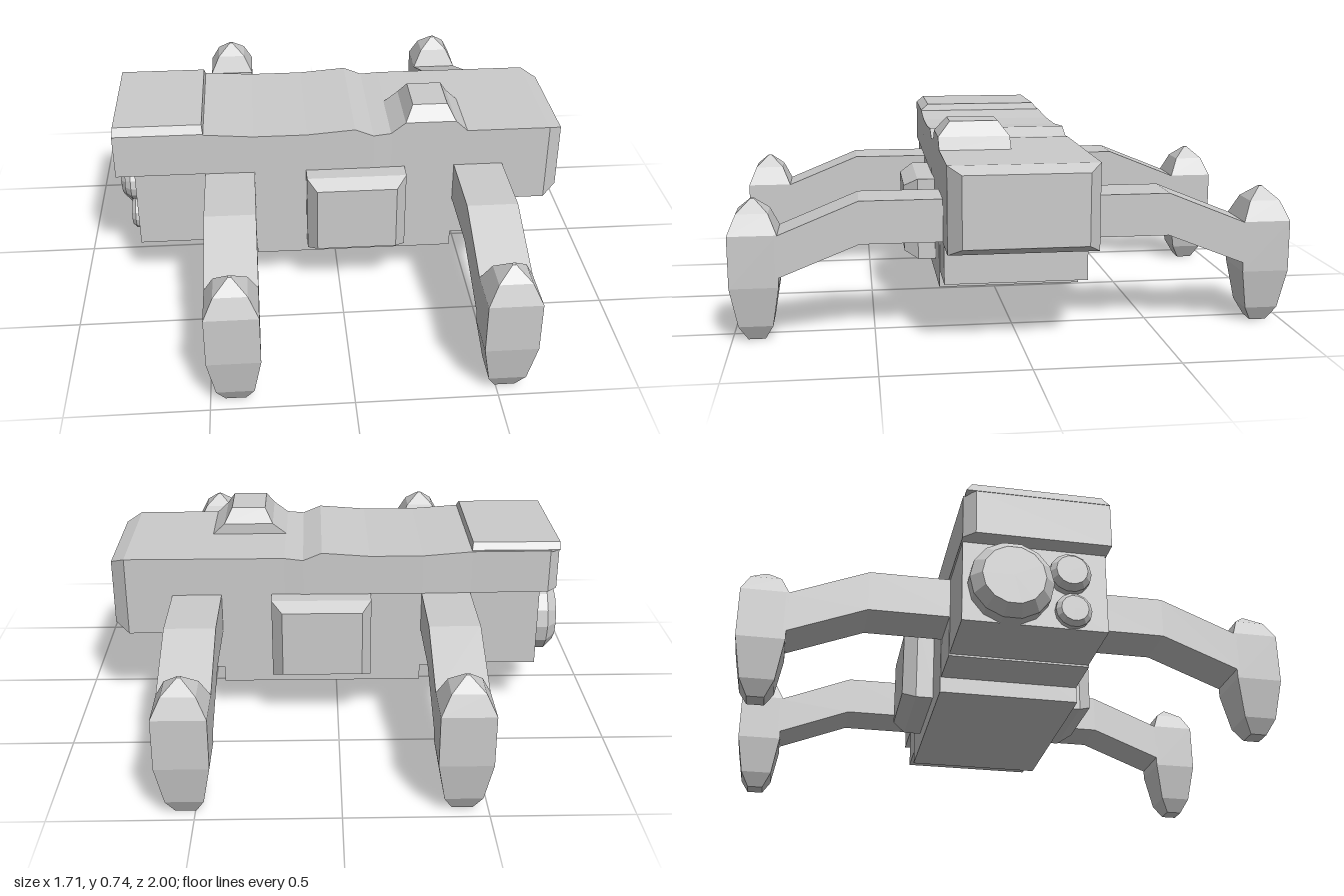
import * as THREE from 'three';

const material = new THREE.MeshStandardMaterial({ color: 0xcccccc, flatShading: true });

// Each axis maps (t, a, b) to x, y, z in a right-handed order.
const AXES = {
  x: (t, a, b) => [t, a, b],
  y: (t, a, b) => [b, t, a],
  z: (t, a, b) => [a, b, t],
};

// Lofts rectangular sections [t, a0, a1, b0, b1], listed in rising t, along an axis.
function loft(axis, sections) {
  const rings = sections.map(([t, a0, a1, b0, b1]) =>
    [[a0, b0], [a1, b0], [a1, b1], [a0, b1]].map(([a, b]) => AXES[axis](t, a, b)));
  const pos = [];
  const quad = (a, b, c, d) => pos.push(...a, ...b, ...c, ...a, ...c, ...d);
  for (let i = 0; i < rings.length - 1; i++) {
    const p = rings[i], q = rings[i + 1];
    for (let k = 0; k < 4; k++) {
      const n = (k + 1) % 4;
      quad(p[k], p[n], q[n], q[k]);
    }
  }
  const s = rings[0], e = rings[rings.length - 1];
  quad(s[3], s[2], s[1], s[0]);
  quad(e[0], e[1], e[2], e[3]);
  const g = new THREE.BufferGeometry();
  g.setAttribute('position', new THREE.Float32BufferAttribute(pos, 3));
  g.computeVertexNormals();
  return g;
}

// Mirrors z-axis sections to the other side.
const mirrorZ = (sections) => sections.map(([t, ...r]) => [-t, ...r]).reverse();

export function createModel() {
  const model = new THREE.Group();
  model.name = 'foldingDrone';
  const add = (name, geometry, parent = model) => {
    const mesh = new THREE.Mesh(geometry, material);
    mesh.name = name;
    parent.add(mesh);
    return mesh;
  };

  // Upper shell with a gently waved top and one cut corner
  add('upperShell', loft('x', [
    [-0.84, 0.5, 0.667, -0.22, 0.26],
    [-0.80, 0.5, 0.667, -0.26, 0.26],
    [-0.505, 0.5, 0.667, -0.262, 0.26],
    [-0.32, 0.5, 0.653, -0.265, 0.262],
    [-0.12, 0.5, 0.653, -0.265, 0.262],
    [0.06, 0.5, 0.667, -0.265, 0.262],
    [0.13, 0.5, 0.638, -0.265, 0.262],
    [0.20, 0.5, 0.645, -0.26, 0.26],
    [0.45, 0.5, 0.645, -0.26, 0.26],
  ]));

  // Raised plate on the camera end, bevelled along its sides
  add('topPlate', loft('y', [
    [0.66, -0.255, 0.26, -0.80, -0.505],
    [0.67, -0.255, 0.26, -0.838, -0.505],
    [0.695, -0.235, 0.23, -0.838, -0.51],
  ]));

  // Battery block with a bevelled end face
  add('batteryBlock', loft('x', [
    [0.40, 0.34, 0.645, -0.26, 0.26],
    [0.80, 0.34, 0.645, -0.26, 0.26],
    [0.855, 0.37, 0.62, -0.215, 0.215],
  ]));

  // Lower body, belly and camera housing
  add('lowerBody', loft('x', [
    [-0.505, 0.19, 0.5, -0.257, 0.257], [0.625, 0.19, 0.5, -0.257, 0.257]]));
  add('belly', loft('x', [
    [-0.32, 0.13, 0.5, -0.26, 0.26], [0.44, 0.13, 0.5, -0.26, 0.26]]));
  add('cameraHousing', loft('x', [
    [-0.77, 0.197, 0.5, -0.255, 0.255], [-0.5, 0.197, 0.5, -0.255, 0.255]]));

  // Off-centre sensor hump on top
  add('topSensor', loft('y', [
    [0.64, 0, 0.26, 0.19, 0.49],
    [0.687, 0, 0.26, 0.25, 0.44],
    [0.74, 0.04, 0.215, 0.28, 0.41],
  ]));

  // Bevelled pods on both long sides
  const pod = [
    [0.25, -0.125, 0.25, 0.19, 0.5],
    [0.325, -0.125, 0.25, 0.19, 0.5],
    [0.375, -0.09, 0.21, 0.215, 0.47],
  ];
  add('frontPod', loft('z', pod));
  add('backPod', loft('z', mirrorZ(pod)));

  // Lenses: bevelled discs facing -x, as [name, y, z, radius, depth]
  for (const [name, y, z, r, depth] of [
    ['mainLens', 0.34, -0.09, 0.147, 0.085],
    ['upperLens', 0.402, 0.12, 0.074, 0.05],
    ['lowerLens', 0.262, 0.13, 0.064, 0.035],
  ]) {
    const profile = [[0, -0.02], [r, -0.02], [r, depth * 0.55], [r * 0.75, depth], [0, depth]]
      .map(([a, b]) => new THREE.Vector2(a, b));
    const lens = add(name, new THREE.LatheGeometry(profile, 14));
    lens.rotation.z = Math.PI / 2;
    lens.position.set(-0.77, y, z);
  }

  // Four bent arms, each ending in a pointed motor foot
  for (const x of [-0.412, 0.533]) {
    for (const side of [1, -1]) {
      const leg = new THREE.Group();
      leg.name = (side > 0 ? 'front' : 'back') + (x > 0 ? 'Left' : 'Right') + 'Leg';
      leg.position.x = x;
      model.add(leg);
      const w = 0.093;
      const arm = [
        [0.2, -w, w, 0.345, 0.498],
        [0.55, -w, w, 0.345, 0.498],
        [0.84, -w, w, 0.23, 0.38],
      ];
      add('arm', loft('z', side > 0 ? arm : mirrorZ(arm)), leg);
      const foot = [
        [0, 0.03, 0.036], [0.055, 0.06, 0.066], [0.2, 0.085, w],
        [0.385, 0.085, w], [0.455, 0.055, 0.058], [0.5, 0.006, 0.006],
      ].map(([y, hz, hx]) => [y, -hz, hz, -hx, hx]);
      add('motorFoot', loft('y', foot), leg).position.z = side * 0.915;
    }
  }
  return model;
}
